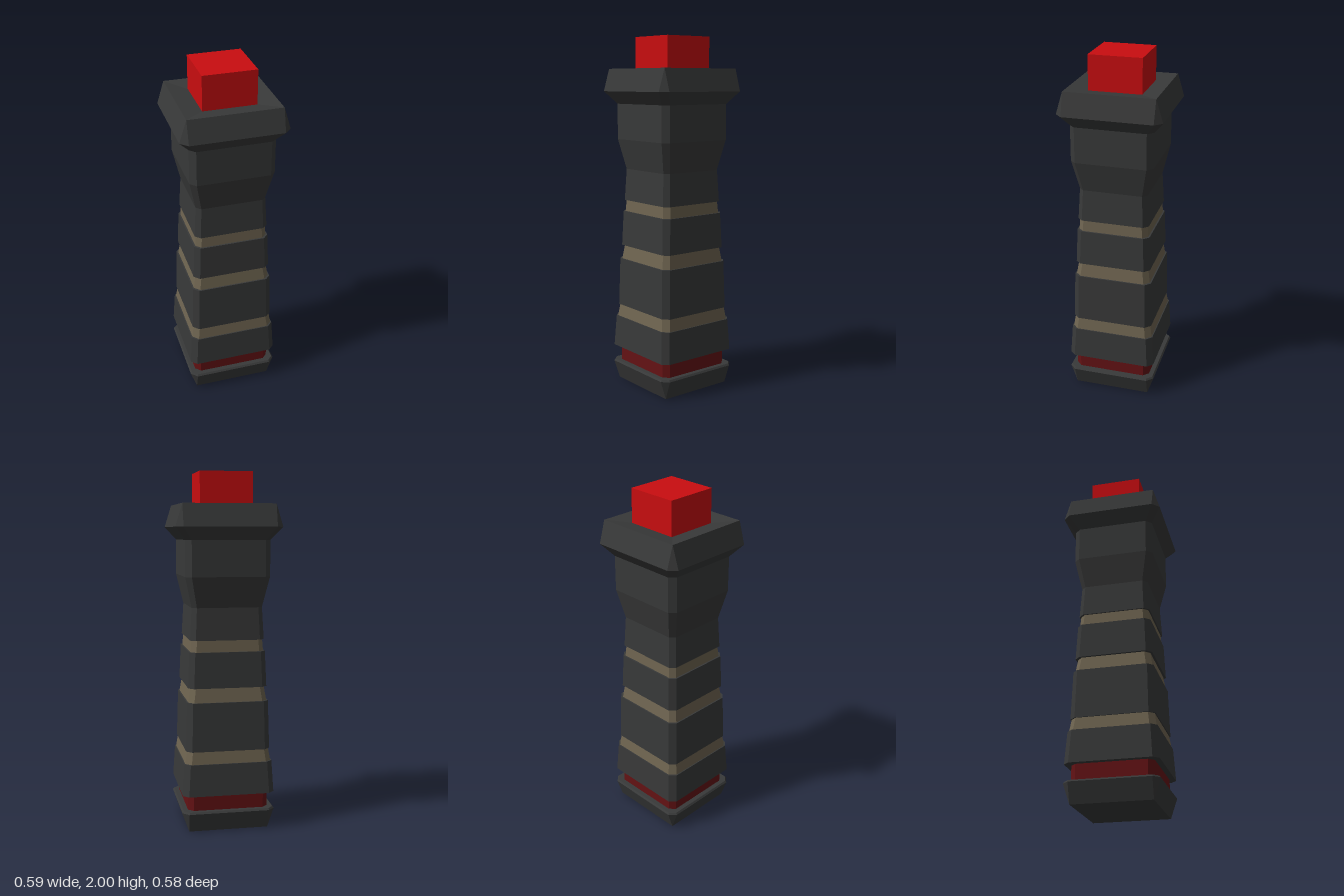
import * as THREE from 'three';

const DEPTH = 0.975; // the grip is slightly shallower than it is wide

const paint = (color) => new THREE.MeshStandardMaterial({ color, flatShading: true });

// Corners of a square with cut corners: half width w, corner cut c
function ring([y, w, c]) {
  const d = w * DEPTH;
  return [
    [w, d - c], [w - c, d], [c - w, d], [-w, d - c],
    [-w, c - d], [c - w, -d], [w - c, -d], [w, c - d],
  ].map(([x, z]) => new THREE.Vector3(x, y, z));
}

// Capped solid through a stack of [height, half width, corner cut], bottom to top
function stack(name, material, sections) {
  const rings = sections.map(ring);
  const pos = [];
  const tri = (a, b, c) => {
    const area = b.clone().sub(a).cross(c.clone().sub(a)).length();
    if (area > 1e-7) pos.push(...a, ...b, ...c);
  };
  for (let k = 0; k < rings.length - 1; k++) {
    const lo = rings[k], hi = rings[k + 1];
    for (let i = 0; i < 8; i++) {
      const j = (i + 1) % 8;
      tri(lo[i], hi[j], lo[j]);
      tri(lo[i], hi[i], hi[j]);
    }
  }
  const bottom = rings[0], top = rings[rings.length - 1];
  for (let i = 1; i < 7; i++) {
    tri(bottom[0], bottom[i], bottom[i + 1]);
    tri(top[0], top[i + 1], top[i]);
  }
  const geometry = new THREE.BufferGeometry();
  geometry.setAttribute('position', new THREE.Float32BufferAttribute(pos, 3));
  geometry.computeVertexNormals();
  const mesh = new THREE.Mesh(geometry, material);
  mesh.name = name;
  return mesh;
}

export function createModel() {
  const model = new THREE.Group();
  model.name = 'handle';
  const dark = paint(0x383939);
  const tan = paint(0x6e6450);
  const maroon = paint(0x641214);
  const red = paint(0xc90d10);

  // Foot and the recessed ring above it
  model.add(stack('base', dark, [[0, 0.225, 0], [0.11, 0.263, 0.036], [0.12, 0.255, 0.03]]));
  model.add(stack('baseRing', maroon, [[0.12, 0.228, 0.03], [0.21, 0.228, 0.03]]));

  // Dark grip segments, each flaring towards its lower edge
  [
    ['lowerGrip', [[0.21, 0.26, 0.032], [0.39, 0.249, 0.032]]],
    ['middleGrip', [[0.46, 0.238, 0.032], [0.735, 0.23, 0.03]]],
    ['upperGrip', [[0.815, 0.222, 0.03], [1.015, 0.214, 0.03]]],
  ].forEach(([name, sections]) => model.add(stack(name, dark, sections)));

  // Tan bands between the segments
  [
    ['lowerBand', [[0.39, 0.243, 0.032], [0.46, 0.232, 0.03]]],
    ['middleBand', [[0.735, 0.222, 0.03], [0.815, 0.209, 0.028]]],
    ['upperBand', [[1.015, 0.205, 0.028], [1.08, 0.2, 0.028]]],
  ].forEach(([name, sections]) => model.add(stack(name, tan, sections)));

  // Neck widening into the collar, whose top dips slightly towards the button
  model.add(stack('neck', dark, [
    [1.08, 0.208, 0.028], [1.26, 0.198, 0.026], [1.43, 0.236, 0.032], [1.63, 0.236, 0.032],
  ]));
  model.add(stack('collar', dark, [
    [1.63, 0.236, 0.032], [1.7, 0.295, 0.04], [1.825, 0.256, 0], [1.808, 0.14, 0],
  ]));

  // Button on top
  const button = new THREE.Mesh(new THREE.BoxGeometry(0.294, 0.2, 0.294), red);
  button.name = 'button';
  button.position.set(0, 1.9, -0.003);
  model.add(button);

  return model;
}
